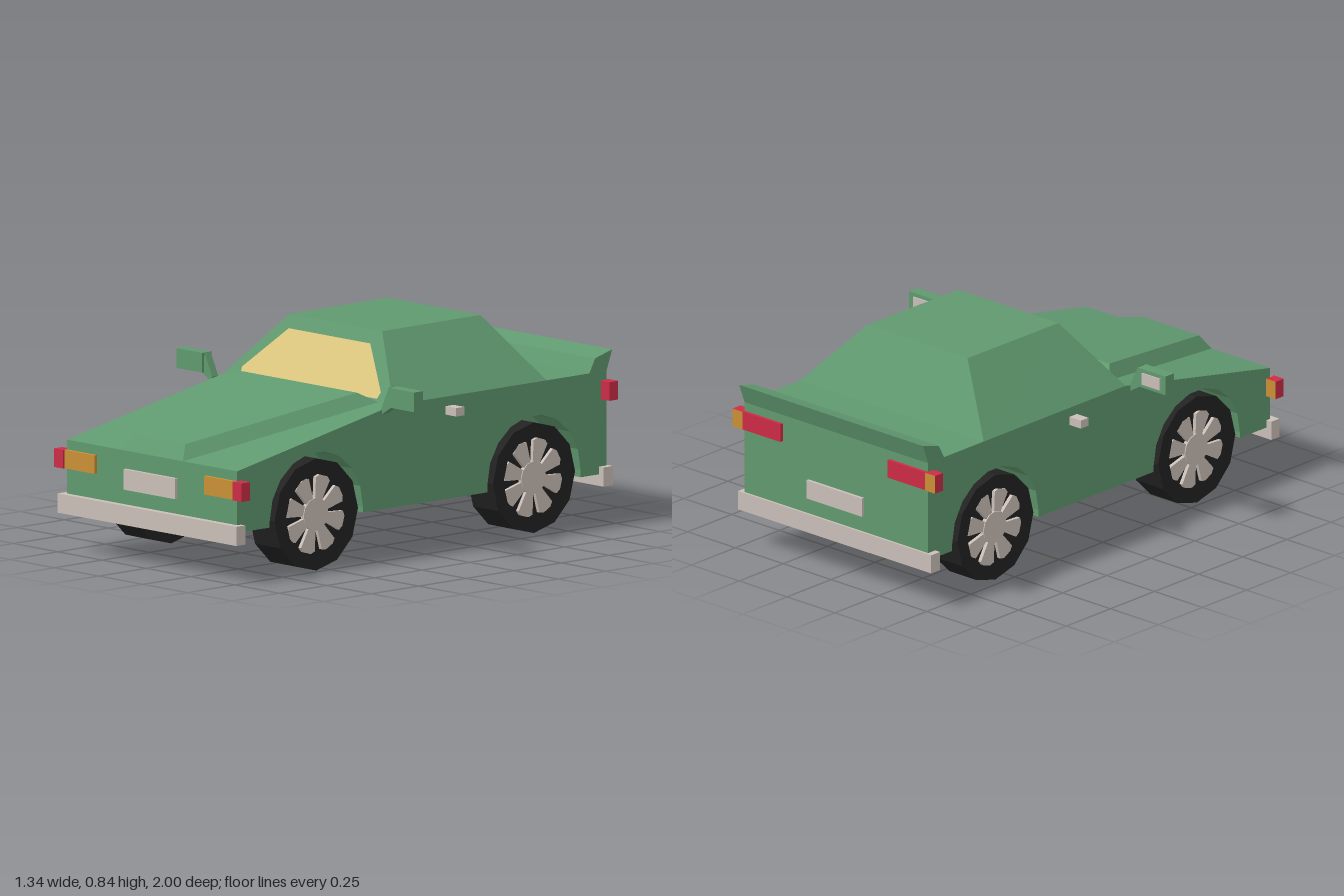
import * as THREE from 'three';

const mat = (name, color, extra = {}) => {
  const m = new THREE.MeshStandardMaterial({ color, ...extra });
  m.name = name;
  return m;
};

export function createModel() {
  const green = mat('body green', 0x60996f);
  const pale = mat('pale trim', 0xcabfb8);
  const black = mat('tyre black', 0x222222);
  const red = mat('lamp red', 0xcc2c45);
  const orange = mat('lamp orange', 0xca9035);
  const yellow = mat('window yellow', 0xdcc77f, { side: THREE.DoubleSide });

  const car = new THREE.Group();
  car.name = 'car';

  const add = (name, geo, material, parent = car) => {
    const m = new THREE.Mesh(geo, material);
    m.name = name;
    parent.add(m);
    return m;
  };
  // Box given by its low and high corners
  const box = (name, x0, x1, y0, y1, z0, z1, material) => {
    const m = add(name, new THREE.BoxGeometry(Math.abs(x1 - x0), y1 - y0, z1 - z0), material);
    m.position.set((x0 + x1) / 2, (y0 + y1) / 2, (z0 + z1) / 2);
    return m;
  };
  const shape = pts => new THREE.Shape(pts.map(p => new THREE.Vector2(p[0], p[1])));
  const extrude = (s, depth) => new THREE.ExtrudeGeometry(s, { depth, bevelEnabled: false });
  // Side profile of [z, y] points, swept from x0 to x1
  const sweep = (pts, x0, x1) =>
    extrude(shape(pts.map(([z, y]) => [-z, y])), x1 - x0).rotateY(Math.PI / 2).translate(x0, 0, 0);
  // Solid between two four-cornered loops: front -x, front +x, back +x, back -x
  const hexa = (b, t) => {
    const v = [...b, ...t];
    const pos = [];
    const quad = (i, j, k, l) => [i, j, k, i, k, l].forEach(n => pos.push(...v[n]));
    for (let i = 0; i < 4; i++) {
      const j = (i + 1) % 4;
      quad(i, j, j + 4, i + 4);
    }
    quad(4, 5, 6, 7);
    quad(3, 2, 1, 0);
    const g = new THREE.BufferGeometry();
    g.setAttribute('position', new THREE.Float32BufferAttribute(pos, 3));
    g.computeVertexNormals();
    return g;
  };
  // Symmetric loop from front and back [half width, y, z]
  const loop = ([fx, fy, fz], [bx, by, bz]) =>
    [[-fx, fy, fz], [fx, fy, fz], [bx, by, bz], [-bx, by, bz]];

  // Body: plain core and side panels with wheel arches cut out
  const wheelSpots = [[-0.589, 0.228, 0.216], [0.554, 0.222, 0.219]];
  const upper = [[0.97, 0.2], [0.97, 0.44], [0.15, 0.6], [-0.97, 0.6], [-0.97, 0.2]];
  const panel = [...upper];
  for (const [z, y] of wheelSpots) {
    panel.push([z - 0.245, 0.2]);
    for (let i = 0; i <= 9; i++) {
      const a = Math.PI * (1 - i / 9);
      panel.push([z + 0.245 * Math.cos(a), y + 0.245 * Math.sin(a)]);
    }
    panel.push([z + 0.245, 0.2]);
  }
  add('bodyCore', sweep(upper, -0.33, 0.33), green);
  add('leftBodySide', sweep(panel, 0.33, 0.48), green);
  add('rightBodySide', sweep(panel, -0.48, -0.33), green);
  add('spoiler', sweep([[-0.88, 0.6], [-0.91, 0.655], [-1, 0.68], [-0.97, 0.6]], -0.48, 0.48), green);

  // Cabin and raised bonnet
  add('cabin', hexa(loop([0.48, 0.6, 0.15], [0.48, 0.6, -0.655]),
    loop([0.262, 0.843, 0.005], [0.262, 0.845, -0.51])), green);
  add('bonnetBulge', hexa(loop([0.175, 0.44, 0.97], [0.395, 0.6, 0.15]),
    loop([0.145, 0.498, 0.93], [0.34, 0.638, 0.21])), green);

  // Windscreen lying on the sloped cabin front
  const half = [[0.385, 0.012], [0.392, 0.04], [0.23, 0.225]];
  const screen = add('windscreen', new THREE.ShapeGeometry(
    shape([...half, ...half.map(([x, y]) => [-x, y]).reverse()])), yellow);
  screen.rotation.x = -Math.atan2(0.145, 0.243);
  screen.position.set(0, 0.602, 0.1535);

  // Bumpers and number plates
  box('frontBumper', -0.505, 0.505, 0.155, 0.23, 0.95, 0.997, pale);
  box('rearBumper', -0.505, 0.505, 0.155, 0.23, -0.98, -0.93, pale);
  box('frontPlate', -0.145, 0.145, 0.29, 0.37, 0.96, 0.985, pale);
  box('rearPlate', -0.145, 0.145, 0.295, 0.37, -0.983, -0.96, pale);

  // Lamps, handles and mirrors on both sides
  const cornerLamp = [red, red, red, red, red, orange];
  for (const s of [1, -1]) {
    const side = s > 0 ? 'left' : 'right';
    box(side + 'Headlamp', s * 0.31, s * 0.48, 0.33, 0.402, 0.96, 0.985, orange);
    box(side + 'FrontCornerLamp', s * 0.478, s * 0.53, 0.33, 0.402, 0.948, 0.993, cornerLamp);
    box(side + 'TailLamp', s * 0.28, s * 0.48, 0.492, 0.565, -0.983, -0.96, red);
    box(side + 'RearCornerLamp', s * 0.478, s * 0.53, 0.492, 0.565, -0.985, -0.94, cornerLamp);
    box(side + 'DoorHandle', s * 0.475, s * 0.54, 0.53, 0.563, -0.168, -0.125, pale);
    box(side + 'MirrorHead', s * 0.525, s * 0.67, 0.605, 0.682, 0.17, 0.218, green);
    box(side + 'MirrorGlass', s * 0.55, s * 0.645, 0.62, 0.667, 0.164, 0.172, pale);
    add(side + 'MirrorArm', extrude(shape([[0.478, 0.57], [0.535, 0.605], [0.52, 0.682], [0.478, 0.595]]
      .map(([x, y]) => [s * x, y])), 0.032).translate(0, 0, 0.178), green);
  }

  // Wheels: low-poly tyre with a recessed face, eight flared spokes and a hub
  const makeWheel = r => {
    const w = new THREE.Group();
    const disc = (rad, depth, z) =>
      new THREE.CylinderGeometry(rad, rad, depth, 12).toNonIndexed().rotateX(Math.PI / 2).translate(0, 0, z);
    const tyre = disc(r, 0.122, -0.081);
    tyre.computeVertexNormals();
    add('tyre', tyre, black, w);
    const ringPts = rad => Array.from({ length: 12 }, (_, i) => {
      const a = (i * Math.PI) / 6;
      return new THREE.Vector2(rad * Math.sin(a), rad * Math.cos(a));
    });
    const ring = new THREE.Shape(ringPts(r));
    ring.holes.push(new THREE.Path(ringPts(0.16)));
    add('tyreRim', extrude(ring, 0.02).translate(0, 0, -0.02), black, w);
    const spoke = extrude(shape([[0.04, -0.014], [0.14, -0.038], [0.153, -0.02],
      [0.153, 0.02], [0.14, 0.038], [0.04, 0.014]]), 0.016);
    for (let i = 0; i < 8; i++) {
      add('spoke', spoke, pale, w).rotation.z = 0.5 + (i * Math.PI) / 4;
    }
    w.children.filter(c => c.name === 'spoke').forEach(c => { c.position.z = -0.021; });
    add('hub', disc(0.065, 0.02, -0.011), pale, w);
    return w;
  };
  for (const [z, y, r] of wheelSpots) {
    for (const s of [1, -1]) {
      const w = makeWheel(r);
      w.name = (s > 0 ? 'left' : 'right') + (z > 0 ? 'Front' : 'Rear') + 'Wheel';
      w.rotation.y = (s * Math.PI) / 2;
      w.position.set(s * 0.48, y, z);
      car.add(w);
    }
  }
  return car;
}
